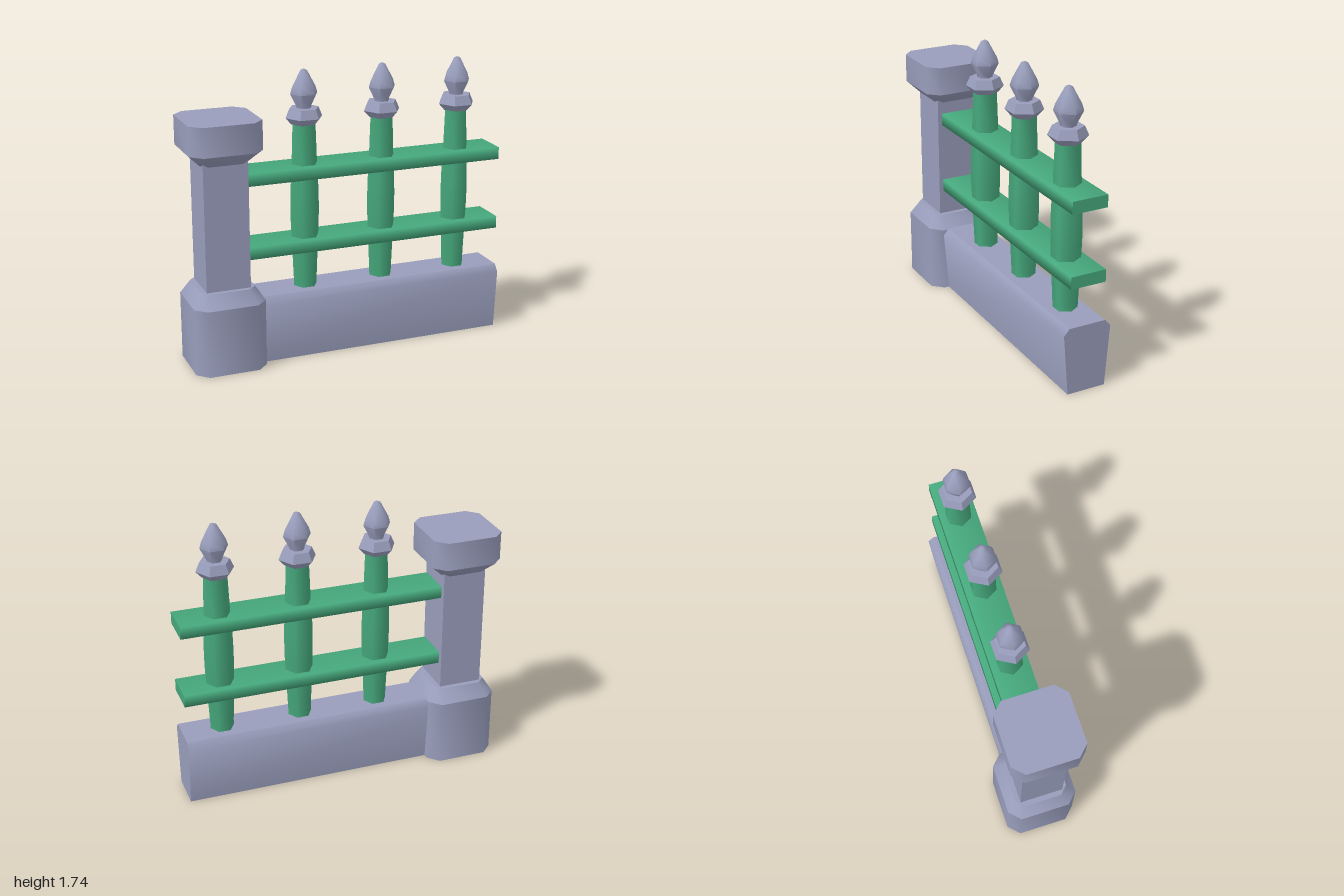
import * as THREE from 'three';
import { toCreasedNormals } from 'three/addons/utils/BufferGeometryUtils.js';

const stone = new THREE.MeshStandardMaterial({ name: 'greyStone', color: 0x989dbb });
const paint = new THREE.MeshStandardMaterial({ name: 'greenPaint', color: 0x46a87c });

function add(parent, name, geometry, material) {
  const mesh = new THREE.Mesh(geometry, material);
  mesh.name = name;
  parent.add(mesh);
  return mesh;
}

// Square block with chamfered corners, tapering from half-width h0 to h1
function block(h0, h1, y0, y1) {
  const a = 1, b = 0.7;
  const outline = [[a, -b], [a, b], [b, a], [-b, a], [-a, b], [-a, -b], [-b, -a], [b, -a]];
  const shape = new THREE.Shape(outline.map(([x, y]) => new THREE.Vector2(x, y)));
  const g = new THREE.ExtrudeGeometry(shape, { depth: 1, bevelEnabled: false });
  g.rotateX(-Math.PI / 2);
  const p = g.attributes.position;
  for (let i = 0; i < p.count; i++) {
    const t = p.getY(i);
    const h = THREE.MathUtils.lerp(h0, h1, t);
    p.setXYZ(i, p.getX(i) * h, THREE.MathUtils.lerp(y0, y1, t), p.getZ(i) * h);
  }
  return toCreasedNormals(g, 0.83);
}

// Six-sided turned part with a corner along the fence line
function turned(points, crease) {
  const g = new THREE.LatheGeometry(points.map(([r, y]) => new THREE.Vector2(r, y)), 6);
  g.rotateY(Math.PI / 2);
  return toCreasedNormals(g, crease);
}

function makePillar() {
  const pillar = new THREE.Group();
  pillar.name = 'pillar';
  add(pillar, 'pillarBase', block(0.218, 0.218, 0, 0.41), stone);
  add(pillar, 'pillarBaseBevel', block(0.218, 0.165, 0.41, 0.495), stone);
  const shaft = add(pillar, 'pillarShaft', new THREE.BoxGeometry(0.268, 0.85, 0.268), stone);
  shaft.position.y = 0.87;
  add(pillar, 'pillarCapBevel', block(0.142, 0.218, 1.25, 1.325), stone);
  add(pillar, 'pillarCap', block(0.218, 0.218, 1.325, 1.5), stone);
  return pillar;
}

function makePost() {
  const post = new THREE.Group();
  post.name = 'post';
  add(post, 'postShaft', turned([
    [0.071, 0.38], [0.073, 0.45], [0.082, 0.66], [0.089, 0.82], [0.09, 0.92],
    [0.088, 1.02], [0.08, 1.17], [0.071, 1.43],
  ], 1.1), paint);
  add(post, 'postCollar', turned([
    [0, 1.415], [0.078, 1.415], [0.114, 1.455], [0.09, 1.51], [0, 1.51],
  ], 0.5), stone);
  add(post, 'postFinial', turned([
    [0.046, 1.505], [0.047, 1.52], [0.084, 1.595], [0.072, 1.635], [0.021, 1.73], [0, 1.74],
  ], 1.1), stone);
  return post;
}

export function createModel() {
  const model = new THREE.Group();
  model.name = 'fenceSection';

  // The fence runs along local x from the pillar centre, slightly turned
  const fence = new THREE.Group();
  fence.name = 'fence';
  fence.position.set(-0.76, 0, -0.105);
  fence.rotation.y = -0.171;
  model.add(fence);
  fence.add(makePillar());

  // Low wall with flared sides and a bevelled top
  const length = 1.755;
  const profile = new THREE.Shape([
    [-0.12, 0], [0.12, 0], [0.15, 0.375], [0.115, 0.415], [-0.115, 0.415], [-0.15, 0.375],
  ].map(([x, y]) => new THREE.Vector2(x, y)));
  const wall = new THREE.ExtrudeGeometry(profile, { depth: length, bevelEnabled: false });
  wall.rotateY(Math.PI / 2);
  add(fence, 'lowWall', toCreasedNormals(wall, 0.83), stone);

  // Two rails with softly shaded long edges
  const start = 0.14;
  for (const y of [0.692, 1.138]) {
    const rail = new THREE.CylinderGeometry(Math.SQRT1_2, Math.SQRT1_2, 1, 4);
    rail.rotateY(Math.PI / 4).rotateZ(Math.PI / 2);
    rail.scale(length - start, 0.075, 0.222);
    add(fence, 'rail', rail, paint).position.set((start + length) / 2, y, 0);
  }

  // Three turned posts
  for (const x of [0.522, 1.015, 1.508]) {
    const post = makePost();
    post.position.x = x;
    fence.add(post);
  }
  return model;
}
